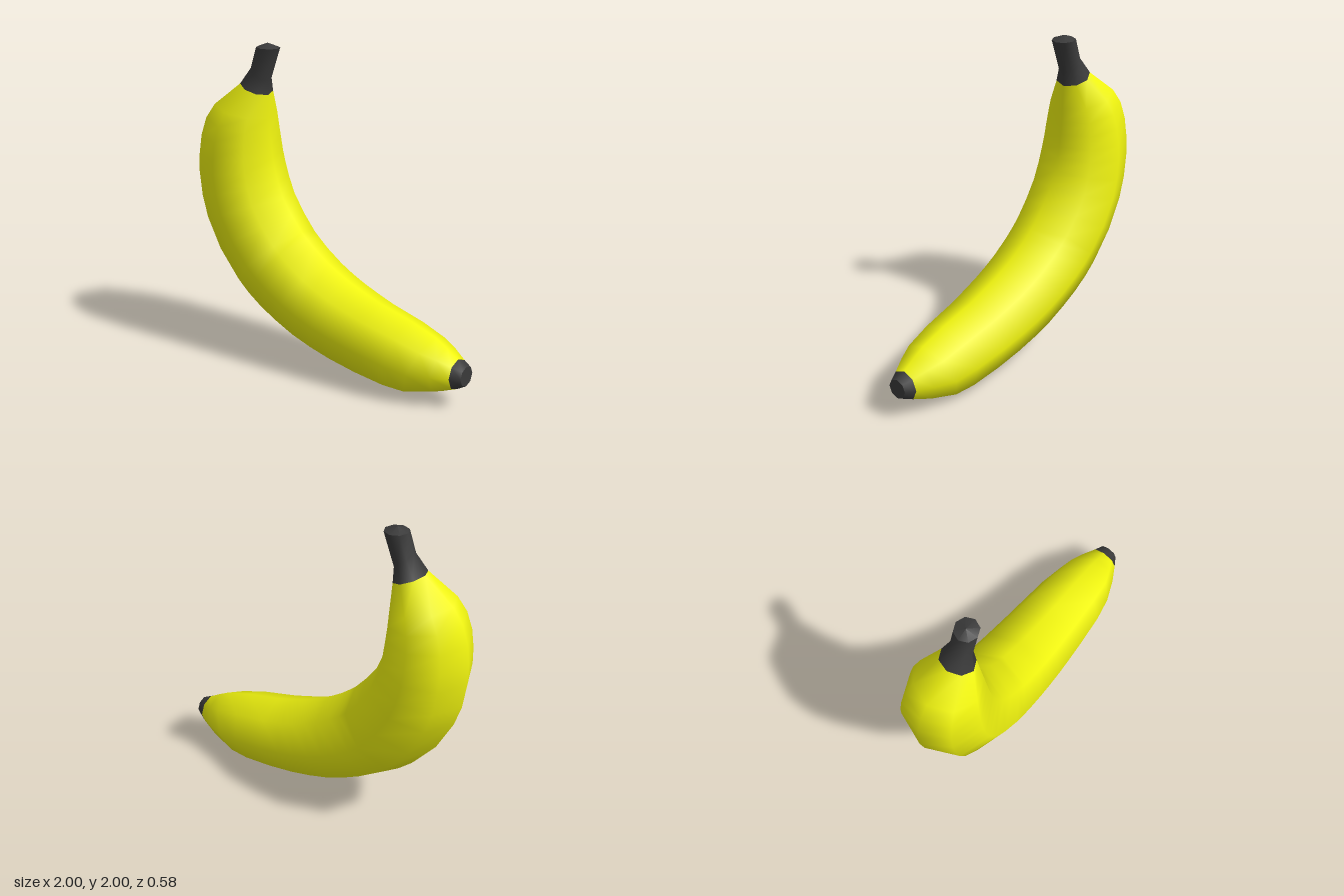
import * as THREE from 'three';

const SIDES = 8;

// Skin over octagonal rings. Each ring: [outerX, outerY, innerX, innerY, halfWidthZ]
function loft(name, rings, material) {
  const positions = [], index = [];
  rings.forEach(([ox, oy, ix, iy, rz], i) => {
    for (let j = 0; j < SIDES; j++) {
      const a = (j / SIDES) * Math.PI * 2, c = Math.cos(a);
      positions.push(
        (ox + ix) / 2 + ((ox - ix) / 2) * c,
        (oy + iy) / 2 + ((oy - iy) / 2) * c,
        rz * Math.sin(a)
      );
      if (i === rings.length - 1) continue;
      const k = (j + 1) % SIDES;
      const p = i * SIDES + j, q = i * SIDES + k;
      index.push(p, p + SIDES, q, q, p + SIDES, q + SIDES);
    }
  });
  const geometry = new THREE.BufferGeometry();
  geometry.setAttribute('position', new THREE.Float32BufferAttribute(positions, 3));
  geometry.setIndex(index);
  geometry.computeVertexNormals();
  const mesh = new THREE.Mesh(geometry, material);
  mesh.name = name;
  return mesh;
}

export function createModel() {
  const yellow = new THREE.MeshStandardMaterial({ color: 0xf0f40f });
  const dark = new THREE.MeshStandardMaterial({ color: 0x3a3a3a });

  const neck = [-0.69, 1.75, -0.5, 1.675, 0.11];
  const stemTop = [-0.57, 1.975, -0.42, 1.97, 0.073];
  const tipStart = [0.94, 0.105, 0.94, 0.295, 0.098];
  const tipEnd = [1, 0.14, 1, 0.265, 0.064];

  // Curved fruit, from the neck down and round to the tip
  const peel = [
    neck,
    [-0.88, 1.61, -0.495, 1.53, 0.2],
    [-0.945, 1.52, -0.49, 1.44, 0.232],
    [-0.985, 1.4, -0.48, 1.36, 0.252],
    [-1, 1.27, -0.47, 1.28, 0.267],
    [-1, 1.15, -0.455, 1.21, 0.278],
    [-0.975, 0.98, -0.43, 1.13, 0.285],
    [-0.93, 0.84, -0.39, 1.03, 0.29],
    [-0.82, 0.63, -0.32, 0.93, 0.29],
    [-0.66, 0.44, -0.24, 0.835, 0.287],
    [-0.57, 0.36, -0.2, 0.8, 0.285],
    [-0.46, 0.285, -0.14, 0.75, 0.282],
    [-0.34, 0.22, -0.03, 0.675, 0.277],
    [-0.2, 0.155, 0.05, 0.632, 0.272],
    [-0.05, 0.105, 0.14, 0.59, 0.266],
    [0.1, 0.065, 0.24, 0.552, 0.258],
    [0.3, 0.027, 0.36, 0.51, 0.247],
    [0.5, 0, 0.6, 0.45, 0.228],
    [0.63, 0, 0.78, 0.39, 0.2],
    [0.82, 0.055, 0.86, 0.345, 0.15],
    tipStart,
  ];

  const group = new THREE.Group();
  group.name = 'banana';
  group.add(
    loft('peel', peel, yellow),
    // Stem with its slightly peaked cut end
    loft('stemCutEnd', [[-0.5, 2, -0.5, 2, 0], stemTop], dark),
    loft('stem', [stemTop, [-0.61, 1.855, -0.5, 1.76, 0.073], neck], dark),
    // Blossom tip and its flat end
    loft('tip', [tipStart, tipEnd], dark),
    loft('tipEnd', [tipEnd, [1, 0.2, 1, 0.2, 0]], dark)
  );
  return group;
}
